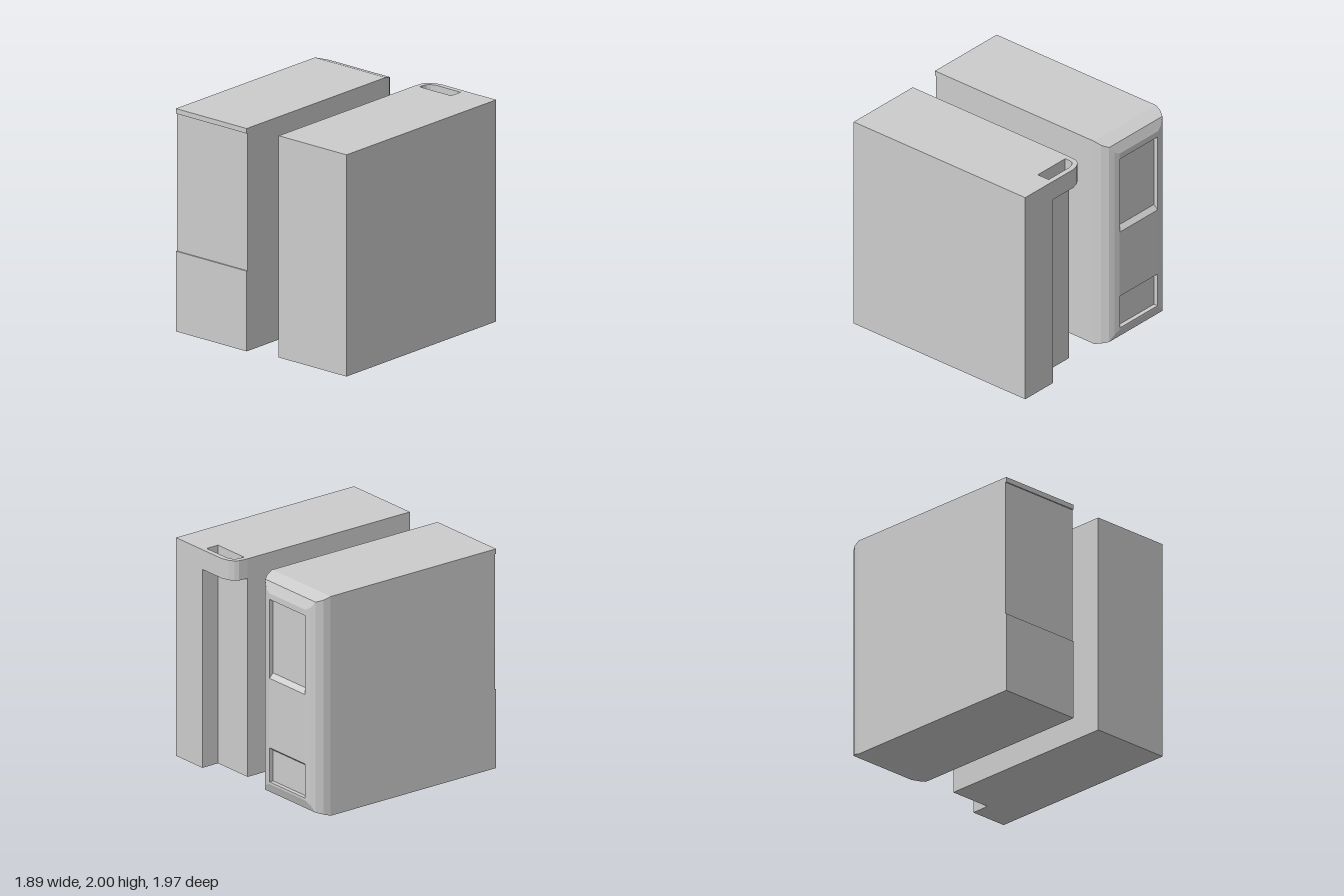
import * as THREE from 'three';

const material = new THREE.MeshStandardMaterial({ color: 0xcccccc, flatShading: true });

function add(parent, name, geometry) {
  const mesh = new THREE.Mesh(geometry, material);
  mesh.name = name;
  parent.add(mesh);
  return mesh;
}

// Box given by its limits on each axis
function box(x0, x1, y0, y1, z0, z1) {
  return new THREE.BoxGeometry(x1 - x0, y1 - y0, z1 - z0)
    .translate((x0 + x1) / 2, (y0 + y1) / 2, (z0 + z1) / 2);
}

// Joins rectangular sections [z, halfWidth, bottom, top]; the last one can be closed
function loft(sections, closed) {
  const rings = sections.map(([z, w, lo, hi]) => [[-w, lo, z], [-w, hi, z], [w, hi, z], [w, lo, z]]);
  const pos = [];
  const quad = (a, b, c, d) => pos.push(...a, ...b, ...c, ...a, ...c, ...d);
  for (let i = 0; i + 1 < rings.length; i++) {
    for (let j = 0; j < 4; j++) {
      const k = (j + 1) % 4;
      quad(rings[i + 1][j], rings[i][j], rings[i][k], rings[i + 1][k]);
    }
  }
  if (closed) quad(...rings[rings.length - 1]);
  const geometry = new THREE.BufferGeometry();
  geometry.setAttribute('position', new THREE.Float32BufferAttribute(pos, 3));
  geometry.computeVertexNormals();
  return geometry;
}

// Plan outline of [x, z] points raised from y0 to y1
function raise(points, y0, y1) {
  const shape = new THREE.Shape(points.map(([x, z]) => new THREE.Vector2(x, -z)));
  return new THREE.ExtrudeGeometry(shape, { depth: y1 - y0, bevelEnabled: false })
    .rotateX(-Math.PI / 2).translate(0, y0, 0);
}

// Tower with a rounded back cover and two recesses in it
function recessedTower() {
  const tower = new THREE.Group();
  tower.name = 'recessedTower';
  const backZ = -0.965, floorZ = -0.925, half = 0.4;

  add(tower, 'chassis', box(-half, half, 0, 2, -0.81, 0.97));
  add(tower, 'lowerFrontPanel', box(-half, half, 0, 0.72, 0.97, 0.982));
  add(tower, 'topFrontStrip', box(-half, half, 1.955, 2, 0.97, 0.982));

  add(tower, 'roundedBackCover', loft([
    [-0.81, half, 0, 2],
    [-0.875, 0.385, 0.022, 1.978],
    [-0.93, 0.345, 0.04, 1.96],
    [-0.953, 0.3, 0.1, 1.9],
    [backZ, 0.25, 0.13, 1.87],
  ], false));

  // Recesses as [bottom, top] at the surface, then at the floor
  const recesses = [
    { name: 'upperRecess', outer: [1.095, 1.815], inner: [1.135, 1.815] },
    { name: 'lowerRecess', outer: [0.15, 0.462], inner: [0.15, 0.43] },
  ];
  const rect = (w, [lo, hi]) => [[-w, lo], [w, lo], [w, hi], [-w, hi]].map((p) => new THREE.Vector2(...p));
  const face = new THREE.Shape(rect(0.25, [0.13, 1.87]));
  for (const { name, outer, inner } of recesses) {
    face.holes.push(new THREE.Path(rect(0.243, outer)));
    add(tower, name, loft([[backZ, 0.243, ...outer], [floorZ, 0.243, ...inner]], true));
  }
  add(tower, 'backFace', new THREE.ShapeGeometry(face).rotateY(Math.PI).translate(0, 0, backZ));

  tower.position.x = -0.55;
  return tower;
}

// Tower with a notched back corner and a carrying handle over the notch
function handleTower() {
  const tower = new THREE.Group();
  tower.name = 'handleTower';
  add(tower, 'notchedBody', raise([
    [0.18, 0.945], [0.945, 0.945], [0.945, -0.985], [0.585, -0.985], [0.585, -0.815], [0.18, -0.815],
  ], 0.01, 2));
  add(tower, 'handle', raise([
    [0.18, -0.815], [0.188, -0.9], [0.21, -0.935], [0.25, -0.965], [0.32, -0.985], [0.585, -0.985],
    [0.585, -0.937], [0.31, -0.937], [0.262, -0.92], [0.238, -0.895], [0.23, -0.865], [0.23, -0.815],
  ], 1.82, 2));
  return tower;
}

export function createModel() {
  const model = new THREE.Group();
  model.name = 'computerTowers';
  model.add(recessedTower(), handleTower());
  return model;
}
